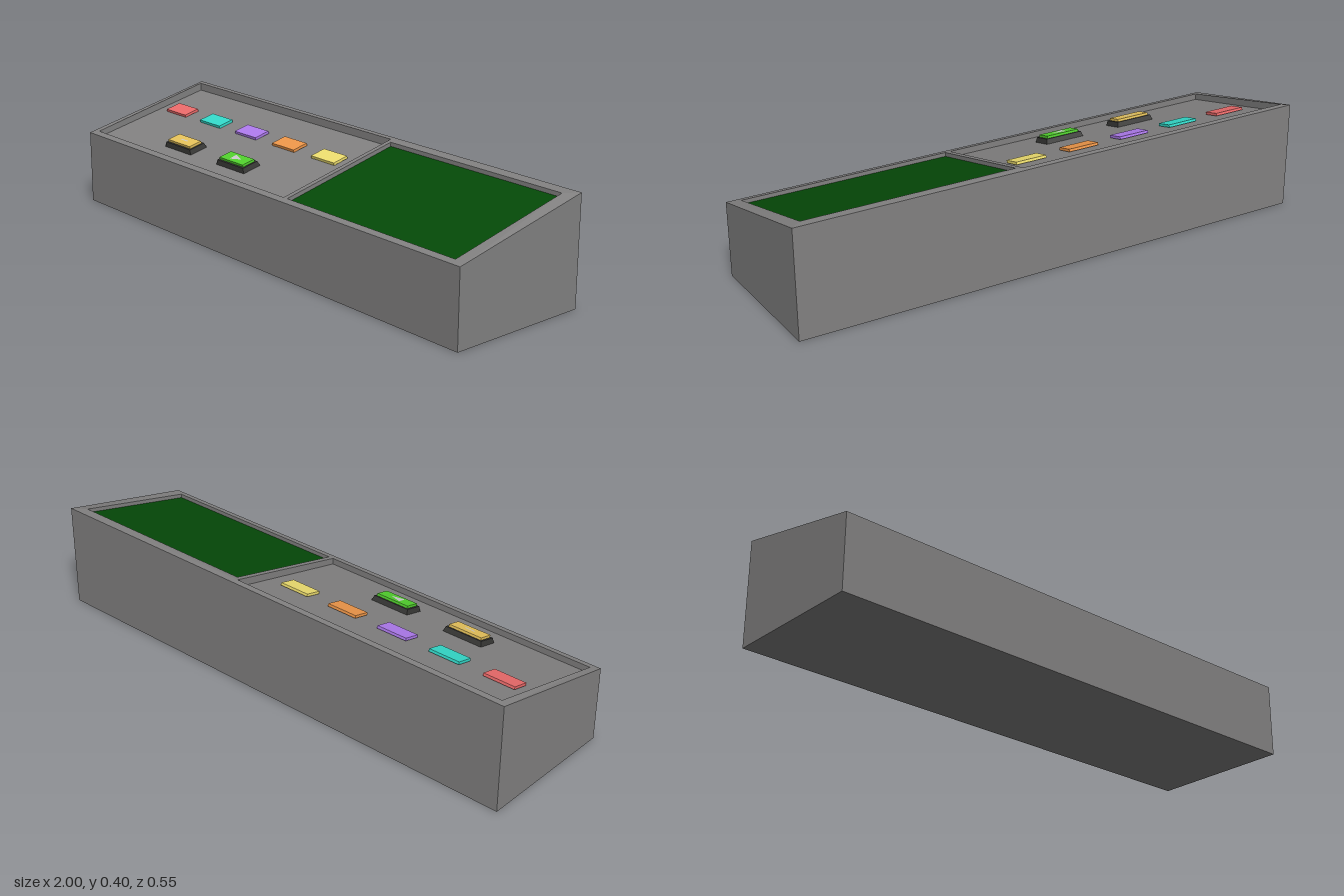
import * as THREE from 'three';

const W = 2, FRONT = 0.273, BACK = -0.272, LOW = 0.276, HIGH = 0.396, RECESS = 0.023;
const SLOPE = (HIGH - LOW) / (FRONT + 0.247);
const topAt = z => Math.min(HIGH, LOW + SLOPE * (FRONT - z));

const mat = color => new THREE.MeshStandardMaterial({ color, flatShading: true });
const grey = mat(0x838282);
const dark = mat(0x363634);
const pale = mat(0xcccccc);

function add(parent, name, geometry, material, x = 0, y = 0, z = 0) {
  const mesh = new THREE.Mesh(geometry, material);
  mesh.name = name;
  mesh.position.set(x, y, z);
  parent.add(mesh);
  return mesh;
}

// Lifts a flat geometry onto the sloping top of the console
function onSlope(geometry) {
  const g = geometry.index ? geometry.toNonIndexed() : geometry;
  const p = g.attributes.position;
  for (let i = 0; i < p.count; i++) p.setY(i, p.getY(i) + topAt(p.getZ(i)));
  g.computeVertexNormals();
  return g;
}

// Rectangle in plan, given in x and z
function rect(Type, x0, x1, z0, z1) {
  return new Type([[x0, -z1], [x1, -z1], [x1, -z0], [x0, -z0]].map(([x, y]) => new THREE.Vector2(x, y)));
}

// Block that narrows towards its top
function taperedBlock(w, h, d, inset) {
  const g = new THREE.BoxGeometry(w, h, d).translate(0, h / 2, 0);
  const p = g.attributes.position;
  for (let i = 0; i < p.count; i++) {
    if (p.getY(i) < h / 2) continue;
    p.setX(i, p.getX(i) - Math.sign(p.getX(i)) * inset);
    p.setZ(i, p.getZ(i) - Math.sign(p.getZ(i)) * inset);
  }
  return g;
}

// Button group standing on the recessed panel, tilted with it
function makeButton(name, x, z, color, w, d, h) {
  const group = new THREE.Group();
  group.name = name;
  group.position.set(x, topAt(z) - RECESS - 0.001, z);
  group.rotation.x = Math.atan(SLOPE);
  add(group, 'buttonCap', new THREE.BoxGeometry(w, h, d), mat(color), 0, h / 2, 0);
  return group;
}

// Larger button with a dark base and a flat symbol on its cap
function makeBasedButton(name, x, color, symbol) {
  const group = makeButton(name, x, 0.13, color, 0.135, 0.054, 0.027);
  add(group, 'buttonBase', taperedBlock(0.159, 0.018, 0.077, 0.005), dark);
  add(group, 'buttonSymbol', new THREE.ShapeGeometry(symbol).rotateX(-Math.PI / 2), pale, 0, 0.0275, 0);
  return group;
}

export function createModel() {
  const model = new THREE.Group();
  model.name = 'controlConsole';

  // Wedge body, whose top is the floor of the recess
  const profile = new THREE.Shape();
  profile.moveTo(-FRONT, 0);
  profile.lineTo(-BACK, 0);
  profile.lineTo(-BACK, HIGH - RECESS);
  profile.lineTo(-FRONT, LOW - RECESS);
  const body = new THREE.ExtrudeGeometry(profile, { depth: W, bevelEnabled: false });
  body.rotateY(Math.PI / 2).translate(-W / 2, 0, 0);
  add(model, 'body', body, grey);

  // Raised rim with openings for the button panel and the screen
  const outline = rect(THREE.Shape, -1, 1, BACK, FRONT);
  outline.holes.push(rect(THREE.Path, -0.974, 0.148, -0.248, 0.247));
  outline.holes.push(rect(THREE.Path, 0.167, 0.955, -0.23, 0.247));
  const rim = new THREE.ExtrudeGeometry(outline, { depth: RECESS + 0.006, bevelEnabled: false });
  rim.rotateX(-Math.PI / 2).translate(0, -RECESS - 0.006, 0);
  add(model, 'rim', onSlope(rim), grey);

  // Screen
  const screen = new THREE.BoxGeometry(0.788, 0.012, 0.477).translate(0.561, -0.021, 0.0085);
  add(model, 'screen', onSlope(screen), mat(0x054a08));

  // Row of flat command buttons
  [0xee6c6c, 0x34dccc, 0xb07cf0, 0xf0984a, 0xf0e070].forEach((color, i) =>
    model.add(makeButton('commandButton' + (i + 1), -0.857 + i * 0.2195, -0.07, color, 0.123, 0.064, 0.01)));

  // Two larger buttons: a short bar on one, a triangle on the other
  model.add(makeBasedButton('resetButton', -0.565, 0xe8c45c, rect(THREE.Shape, -0.02, 0.02, -0.003, 0.003)));
  const triangle = new THREE.Shape([[-0.022, -0.017], [0.026, 0], [-0.022, 0.017]].map(([x, y]) => new THREE.Vector2(x, y)));
  model.add(makeBasedButton('playButton', -0.249, 0x52d22e, triangle));

  return model;
}
